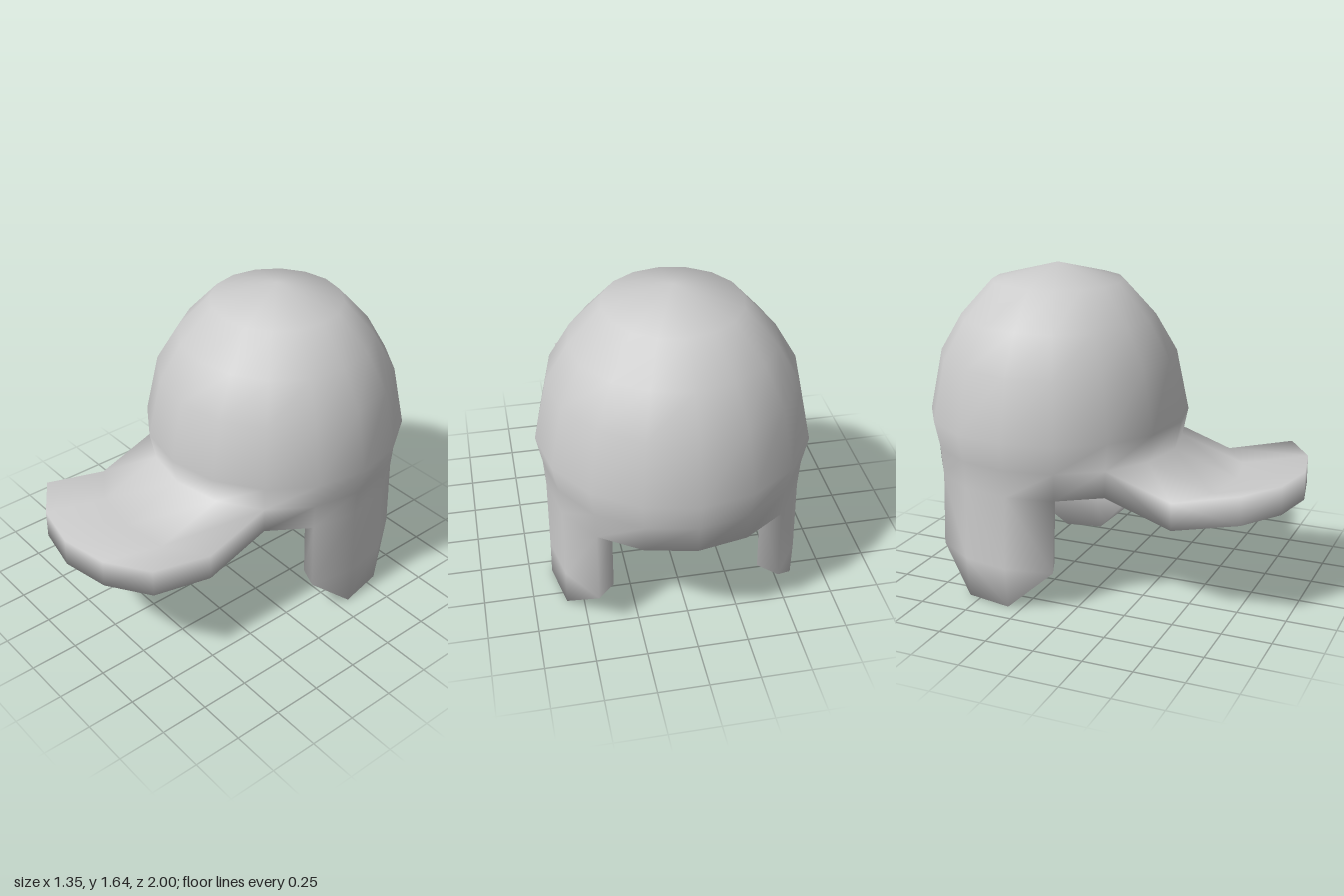
import * as THREE from 'three';

const SIDES = 16, ZC = -0.325;

export function createModel() {
  const group = new THREE.Group();
  group.name = 'earFlapCap';
  const material = new THREE.MeshStandardMaterial({ color: 0xcccccc });

  // All parts share one vertex pool, so the smooth shading flows across their seams.
  const points = [];
  const parts = { dome: [], lining: [], rim: [], visor: [], leftEarFlap: [], rightEarFlap: [] };
  const vertex = (x, y, z) => points.push(x, y, z) / 3 - 1;
  const onRing = (i, r, y, dz = 0) => {
    const a = (i / SIDES) * Math.PI * 2;
    return vertex(r * Math.sin(a), y, ZC + r * Math.cos(a) + dz);
  };
  const wrap = (i) => (i + SIDES) % SIDES;
  const tri = (part, a, b, c, flip) => parts[part].push(...(flip ? [a, c, b] : [a, b, c]));
  const quad = (part, a, b, c, d, flip) => {
    tri(part, a, b, c, flip);
    tri(part, a, c, d, flip);
  };
  const rings = (profile) => profile.map(([r, y]) =>
    Array.from({ length: SIDES }, (_, i) => onRing(i, r, y)));

  // Dome and its lining, from rim to crown
  const outer = rings([[0.635, 0.58], [0.645, 0.72], [0.675, 0.865], [0.61, 1.18], [0.5, 1.37], [0.337, 1.55]]);
  const inner = rings([[0.515, 0.58], [0.525, 0.72], [0.552, 0.86], [0.5, 1.12], [0.41, 1.28], [0.28, 1.43]]);
  const crown = vertex(0, 1.637, ZC), innerCrown = vertex(0, 1.51, ZC);
  const inVisor = (i) => i < 2 || i >= SIDES - 2;
  const inFlap = (i) => (i >= 3 && i < 6) || (i >= 10 && i < 13);

  for (let i = 0; i < SIDES; i++) {
    const j = wrap(i + 1);
    for (let k = 0; k < 5; k++) {
      if (k > 0 || !inVisor(i)) quad('dome', outer[k][i], outer[k][j], outer[k + 1][j], outer[k + 1][i]);
      quad('lining', inner[k][i], inner[k][j], inner[k + 1][j], inner[k + 1][i], true);
    }
    tri('dome', outer[5][i], outer[5][j], crown);
    tri('lining', inner[5][i], inner[5][j], innerCrown, true);
    if (!inFlap(i)) quad('rim', outer[0][i], inner[0][i], inner[0][j], outer[0][j]);
  }

  // Visor: the front band of the dome pushed forward in two steps, dipping then rising
  const cols = [-2, -1, 0, 1, 2];
  const top = [cols.map((i) => outer[1][wrap(i)])];
  const bottom = [cols.map((i) => outer[0][wrap(i)])];
  for (const [dz, yTop, yBottom] of [[0.342, 0.605, 0.465], [0.685, 0.69, 0.545]]) {
    top.push(cols.map((i) => onRing(i, 0.64, yTop, dz)));
    bottom.push(cols.map((i) => onRing(i, 0.64, yBottom, dz)));
  }
  for (let k = 0; k < 2; k++) {
    for (let j = 0; j < 4; j++) {
      quad('visor', top[k + 1][j], top[k + 1][j + 1], top[k][j + 1], top[k][j]);
      quad('visor', bottom[k][j], bottom[k][j + 1], bottom[k + 1][j + 1], bottom[k + 1][j]);
    }
    for (const j of [0, 4]) {
      quad('visor', bottom[k + 1][j], bottom[k][j], top[k][j], top[k + 1][j], j === 0);
    }
  }
  for (let j = 0; j < 4; j++) quad('visor', bottom[2][j], bottom[2][j + 1], top[2][j + 1], top[2][j]);

  // Ear flaps: three rim segments drawn down and tapered to a blunt tip
  for (const side of [1, -1]) {
    const name = side > 0 ? 'leftEarFlap' : 'rightEarFlap', flip = side < 0;
    const layer = (ring, r) => {
      const at = (i, y, dz) => onRing(side * i, r, y, dz);
      return {
        rim: [3, 4, 5, 6].map((i) => ring[wrap(side * i)]),
        mid: [3, 4, 5, 6].map((i) => at(i, 0.2, -0.012)),
        tip: [4, 5].map((i) => at(i, 0, 0.003)),
      };
    };
    const out = layer(outer[0], 0.635), inn = layer(inner[0], 0.515);
    for (const [s, f] of [[out, flip], [inn, !flip]]) {
      for (let j = 0; j < 3; j++) quad(name, s.mid[j], s.mid[j + 1], s.rim[j + 1], s.rim[j], f);
      quad(name, s.tip[0], s.tip[1], s.mid[2], s.mid[1], f);
      tri(name, s.mid[0], s.tip[0], s.mid[1], f);
      tri(name, s.tip[1], s.mid[3], s.mid[2], f);
    }
    // Edge strip joining the outer and inner faces
    const edge = (s) => [s.rim[0], s.mid[0], s.tip[0], s.tip[1], s.mid[3], s.rim[3]];
    const eo = edge(out), ei = edge(inn);
    for (let j = 0; j < 5; j++) quad(name, eo[j], ei[j], ei[j + 1], eo[j + 1], flip);
  }

  // Shared smooth normals, then one mesh per part
  const whole = new THREE.BufferGeometry();
  whole.setAttribute('position', new THREE.Float32BufferAttribute(points, 3));
  whole.setIndex(Object.values(parts).flat());
  whole.computeVertexNormals();
  for (const [name, index] of Object.entries(parts)) {
    const geometry = new THREE.BufferGeometry();
    geometry.setAttribute('position', whole.getAttribute('position'));
    geometry.setAttribute('normal', whole.getAttribute('normal'));
    geometry.setIndex(index);
    const mesh = new THREE.Mesh(geometry, material);
    mesh.name = name;
    group.add(mesh);
  }
  return group;
}
